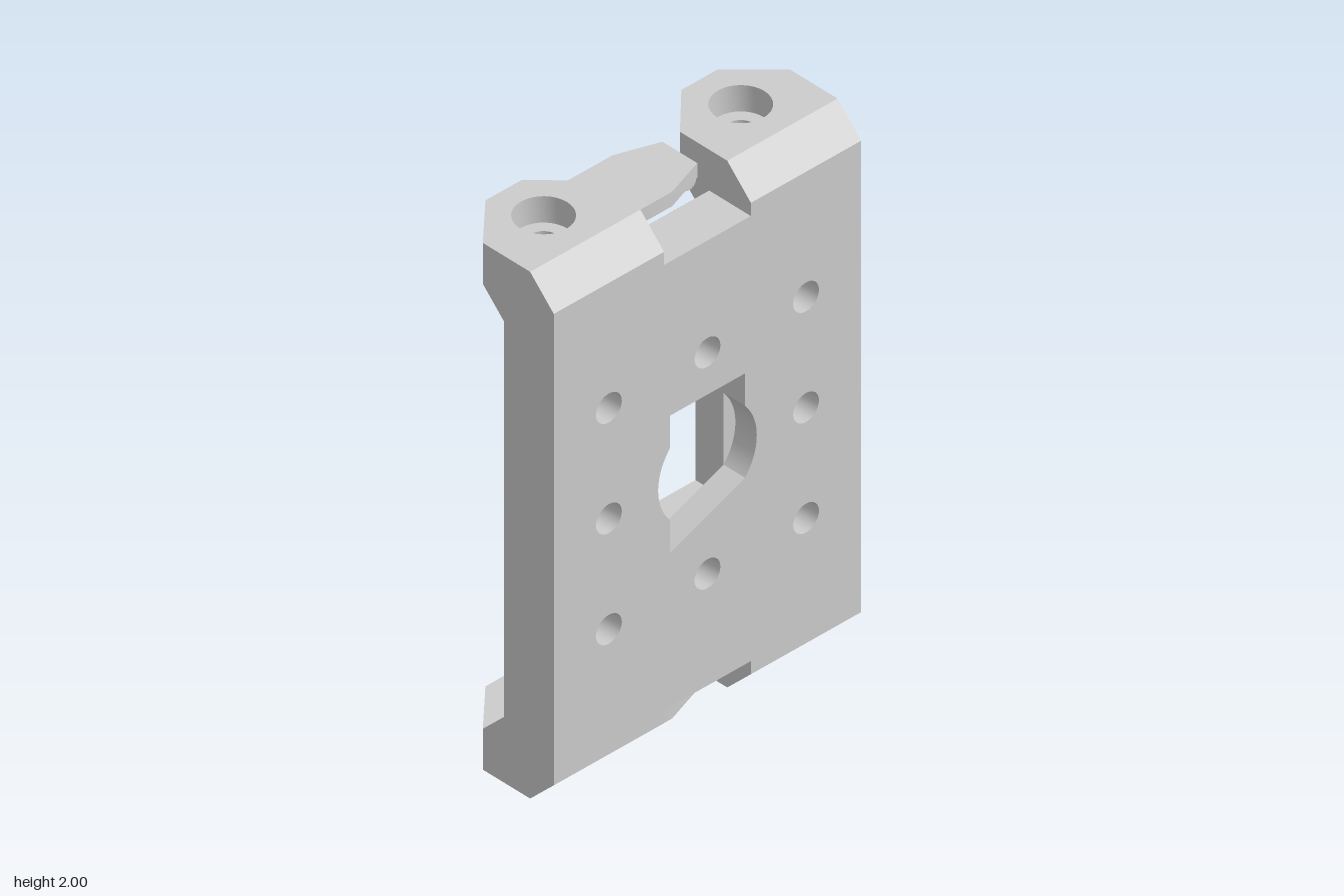
import * as THREE from 'three';
import { toCreasedNormals } from 'three/addons/utils/BufferGeometryUtils.js';

const material = new THREE.MeshStandardMaterial({ color: 0xcccccc });

// Key depths (z): front face, floor of nut pockets, back of panel, top of ribs
const FRONT = 0.235, FLOOR = 0.14, PANEL = 0.065, RIB = 0.015;
const HALF_W = 0.655, SLOT = 0.185, END = 1.845;

const poly = (pts, Type = THREE.Shape) => new Type(pts.map(([a, b]) => new THREE.Vector2(a, b)));
const rect = (x0, y0, x1, y1, Type) => poly([[x0, y0], [x1, y0], [x1, y1], [x0, y1]], Type);
const circle = (x, y, r) => new THREE.Path().absarc(x, y, r, 0, Math.PI * 2);
const hexPoints = (x, y, r) => Array.from({ length: 6 }, (_, i) =>
  [x + r * Math.cos(i * Math.PI / 3), y + r * Math.sin(i * Math.PI / 3)]);

export function createModel() {
  const model = new THREE.Group();
  model.name = 'mountingPlate';

  const add = (geometry, name) => {
    const mesh = new THREE.Mesh(toCreasedNormals(geometry, 0.5), material);
    mesh.name = name;
    model.add(mesh);
    return mesh;
  };
  const extrude = (shape, depth) =>
    new THREE.ExtrudeGeometry(shape, { depth, bevelEnabled: false, curveSegments: 16 });
  // Outline in x, y pushed along z
  const alongZ = (shape, z0, z1, name) => add(extrude(shape, z1 - z0).translate(0, 0, z0), name);
  // Profile in z, y pushed along x
  const alongX = (pts, x0, x1, name) =>
    add(extrude(poly(pts.map(([z, y]) => [-z, y])), x1 - x0).rotateY(Math.PI / 2).translate(x0, 0, 0), name);
  // Outline in x, -z pushed along y
  const alongY = (shape, y0, y1, name) =>
    add(extrude(shape, y1 - y0).rotateX(-Math.PI / 2).translate(0, y0, 0), name);

  // Nut positions around the central window
  const nuts = [];
  for (const x of [-0.42, 0, 0.42]) for (const y of [0.58, 1, 1.42]) if (x || y !== 1) nuts.push([x, y]);

  // Front skin: bolt holes and a window widened by a round cut
  const skin = rect(-HALF_W, 2 - END, HALF_W, END);
  nuts.forEach(([x, y]) => skin.holes.push(circle(x, y, 0.055)));
  const R = 0.21, a = Math.acos(0.16 / R);
  const opening = new THREE.Path();
  opening.moveTo(0.16, 0.74);
  opening.absarc(0, 1, R, -a, a, false);
  opening.lineTo(0.16, 1.26);
  opening.lineTo(-0.16, 1.26);
  opening.absarc(0, 1, R, Math.PI - a, Math.PI + a, false);
  opening.lineTo(-0.16, 0.74);
  opening.closePath();
  skin.holes.push(opening);
  alongZ(skin, FLOOR, FRONT, 'frontSkin');

  // Rear layer: hexagonal nut pockets and the plain window
  const rear = rect(-HALF_W, 2 - END, HALF_W, END);
  nuts.forEach(([x, y]) => rear.holes.push(poly(hexPoints(x, y, 0.105), THREE.Path)));
  rear.holes.push(rect(-0.16, 0.74, 0.16, 1.26, THREE.Path));
  alongZ(rear, PANEL, FLOOR, 'rearLayer');

  // Hexagonal collars round the pockets
  for (const [x, y] of nuts) {
    const collar = poly(hexPoints(x, y, 0.16));
    collar.holes.push(poly(hexPoints(x, y, 0.105), THREE.Path));
    alongZ(collar, RIB, PANEL, 'nutCollar');
  }

  // Raised frame round the window
  const frame = rect(-SLOT, 0.7, SLOT, 1.3);
  frame.holes.push(rect(-0.16, 0.74, 0.16, 1.26, THREE.Path));
  alongZ(frame, RIB, PANEL, 'windowFrame');

  // Side walls and inner ribs, flaring into the ears
  const ribProfile = [[PANEL, 2 - END], [-0.08, 2 - END], [RIB, 0.25], [RIB, 1.75], [-0.08, END], [PANEL, END]];
  for (const [x0, x1, name] of [[0.6, HALF_W, 'sideWall'], [SLOT, 0.23, 'innerRib']]) {
    alongX(ribProfile, x0, x1, name);
    alongX(ribProfile, -x1, -x0, name);
  }

  // Both ends, the lower one mirrored
  for (const top of [true, false]) {
    const Y = (y) => (top ? y : 2 - y);
    const flip = (pts) => pts.map(([z, y]) => [z, Y(y)]);
    const layer = (shape, y0, y1, name) => alongY(shape, top ? y0 : 2 - y1, top ? y1 : 2 - y0, name);

    for (const s of [-1, 1]) {
      const span = (x0, x1) => (s > 0 ? [x0, x1] : [-x1, -x0]);
      // Sloped front edge
      alongX(flip([[0.13, END], [FRONT, END], [FRONT, 1.895], [0.13, 2]]), ...span(SLOT, HALF_W), 'frontChamfer');
      // Slope between panel and ear
      alongX(flip([[PANEL, 1.77], [PANEL, END], [-0.01, END]]), ...span(0.23, 0.6), 'earFillet');

      // Ear with a counterbored screw hole
      const ear = (r) => {
        const shape = poly([[SLOT, -0.13], [SLOT, 0.08], [0.34, 0.235], [0.495, 0.235], [HALF_W, 0.08], [HALF_W, -0.13]]
          .map(([x, y]) => [s * x, y]));
        shape.holes.push(circle(s * 0.42, 0.055, r));
        return shape;
      };
      layer(ear(0.055), END, 1.9, 'earInner');
      layer(ear(0.1), 1.9, 2, 'earOuter');
    }

    // Small sloped lip on the centre panel
    alongX(flip([[PANEL, END], [0.05, END], [0.01, 1.805], [PANEL, 1.75]]), -SLOT, SLOT, 'centreLip');

    // Thin tongue reaching across the slot, with a rounded catch under its tip
    layer(poly([[-0.24, 0.135], [-0.05, 0.135], [0.11, 0.08], [0.11, -0.075], [-0.05, -0.13], [-SLOT, -0.13], [-SLOT, 0.08]]),
      1.945, 2, 'tongue');
    add(new THREE.CylinderGeometry(0.03, 0.03, 0.15, 20).rotateX(Math.PI / 2).translate(0.076, Y(1.944), 0), 'tongueCatch');
  }
  return model;
}
